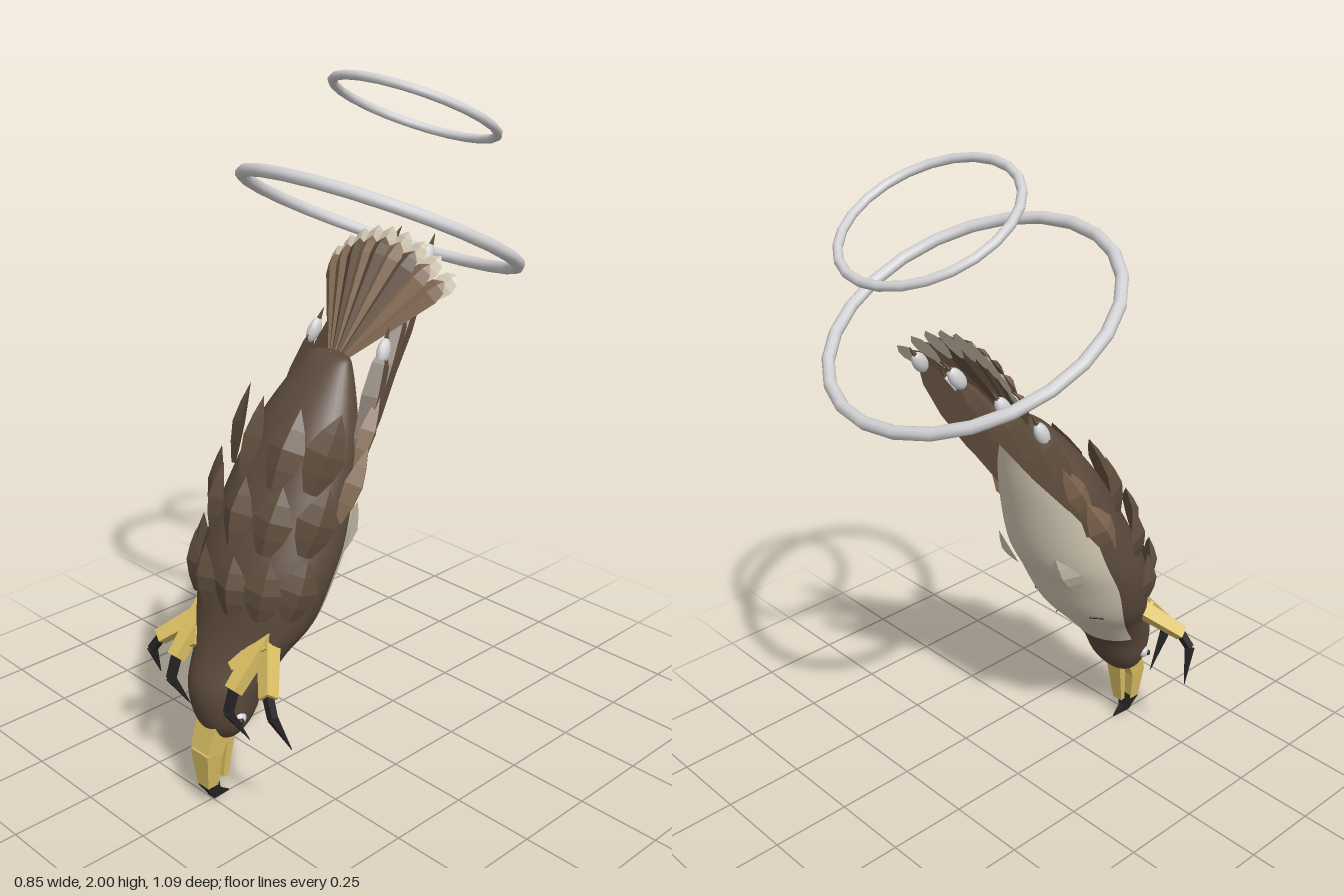
import * as THREE from 'three';

const V = (x, y, z) => new THREE.Vector3(x, y, z);
const paint = (name, color) => {
  const m = new THREE.MeshStandardMaterial({ color, side: THREE.DoubleSide });
  m.name = name;
  return m;
};

export function createModel() {
  const root = new THREE.Group();
  root.name = 'divingBird';
  const brown = paint('dark brown', 0x62503f);
  const plume = paint('plumage brown', 0x5c4a3c);
  const tan = paint('light brown', 0x80674f);
  const cream = paint('cream', 0xd3c9b4);
  const yellow = paint('yellow', 0xd8bd62);
  const black = paint('black', 0x262324);
  const silver = paint('silver', 0xd2d2d4);

  const add = (geo, mat, name, parent = root) => {
    const m = new THREE.Mesh(geo, mat);
    m.name = name;
    parent.add(m);
    return m;
  };
  const flat = (geo) => {
    const g = geo.index ? geo.toNonIndexed() : geo;
    g.computeVertexNormals();
    return g;
  };

  // tapered faceted bar between two points
  const limb = (a, b, ra, rb, mat, name, sides = 4, depth = 1) => {
    if (b.y < a.y) [a, b, ra, rb] = [b, a, rb, ra];
    const d = b.clone().sub(a);
    const g = new THREE.CylinderGeometry(rb, ra, d.length(), sides);
    g.rotateY(Math.PI / 4);
    g.scale(1, 1, depth);
    const m = add(flat(g), mat, name);
    m.position.copy(a).add(b).multiplyScalar(0.5);
    m.quaternion.setFromUnitVectors(V(0, 1, 0), d.normalize());
    return m;
  };

  // pointed feather with a raised centre ridge
  const feather = (a, b, half, ridge, up, mat, name,
    profile = [[0, 0.25], [0.3, 0.8], [0.6, 1], [0.83, 0.75], [1, 0]]) => {
    const d = b.clone().sub(a);
    const side = d.clone().cross(up).normalize();
    const n = side.clone().cross(d).normalize();
    const pos = [], idx = [];
    profile.forEach(([t, w], i) => {
      const c = a.clone().addScaledVector(d, t);
      const l = c.clone().addScaledVector(side, -half * w);
      const r = c.clone().addScaledVector(side, half * w);
      c.addScaledVector(n, ridge * w);
      for (const p of [l, c, r]) pos.push(p.x, p.y, p.z);
      if (i) for (let k = 0; k < 3; k++) {
        const p = (i - 1) * 3 + k, q = (i - 1) * 3 + (k + 1) % 3;
        idx.push(p, q, p + 3, q, q + 3, p + 3);
      }
    });
    // reverse so the faces look outwards
    const g = new THREE.BufferGeometry();
    g.setAttribute('position', new THREE.Float32BufferAttribute(pos, 3));
    g.setIndex(idx.reverse());
    if (n.dot(up) < 0) g.setIndex(idx.reverse());
    return add(flat(g), mat, name);
  };

  // body sections: height, front z, back z, half width
  const sections = [
    [0.205, 0.465, 0.455, 0.004], [0.22, 0.5, 0.42, 0.055], [0.28, 0.53, 0.37, 0.095],
    [0.37, 0.54, 0.325, 0.115], [0.465, 0.5, 0.245, 0.145], [0.555, 0.47, 0.165, 0.19],
    [0.68, 0.445, 0.1, 0.215], [0.8, 0.39, 0.04, 0.212], [1.0, 0.27, 0, 0.18],
    [1.11, 0.19, -0.01, 0.14], [1.21, 0.095, -0.012, 0.09], [1.242, 0.055, 0, 0.065],
    [1.246, 0.03, 0.025, 0.004]];
  const curve = (f) => new THREE.CatmullRomCurve3(sections.map(f), false, 'catmullrom', 0.5);
  const mid = curve(([y, f, b]) => V(y, (f + b) / 2, (f - b) / 2));
  const wide = curve(([y, , , w]) => V(y, w, 0));
  const bodyPoint = (t, a) => {
    const m = mid.getPoint(t), w = wide.getPoint(t).y;
    return V(w * Math.sin(a), m.x, m.y + m.z * Math.cos(a));
  };
  const heightToT = (y) => {
    let lo = 0, hi = 1;
    for (let i = 0; i < 30; i++) {
      const t = (lo + hi) / 2;
      if (mid.getPoint(t).x < y) lo = t; else hi = t;
    }
    return lo;
  };

  // body and head, with the pale underside as a second material
  const rows = 48, cols = 40, pos = [], dark = [], pale = [];
  for (let j = 0; j <= rows; j++) for (let i = 0; i < cols; i++)
    pos.push(...bodyPoint(j / rows, i / cols * Math.PI * 2).toArray());
  for (let j = 0; j < rows; j++) for (let i = 0; i < cols; i++) {
    const a = j * cols + i, b = j * cols + (i + 1) % cols;
    const y = pos[a * 3 + 1];
    const fromBack = Math.abs((i + 0.5) / cols - 0.5) * 360;
    const isPale = y > 0.385 && y < 1.215 && fromBack < (y > 0.9 ? 60 : 68);
    (isPale ? pale : dark).push(a, b, a + cols, b, b + cols, a + cols);
  }
  const body = new THREE.BufferGeometry();
  body.setAttribute('position', new THREE.Float32BufferAttribute(pos, 3));
  body.setIndex([...dark, ...pale]);
  body.addGroup(0, dark.length, 0);
  body.addGroup(dark.length, pale.length, 1);
  body.computeVertexNormals();
  add(body, [plume, cream], 'body');

  // overlapping back feathers
  const scale = [[0, 0.35], [0.25, 0.8], [0.5, 1], [0.75, 0.6], [1, 0]];
  const backRows = [
    [0.93, 0.2, [-0.155, -0.063, 0.063, 0.155]],
    [0.775, 0.175, [-0.19, -0.105, 0, 0.105, 0.19]],
    [0.6, 0.165, [-0.185, -0.13, -0.05, 0.05, 0.13, 0.185]]];
  for (const [y, len, xs] of backRows) for (const x of xs) {
    const t = heightToT(y);
    const a = Math.asin(THREE.MathUtils.clamp(x / wide.getPoint(t).y, -0.97, 0.97));
    const p = bodyPoint(t, a), q = bodyPoint(heightToT(y + len), a);
    const n = V(Math.sin(a), 0.3, Math.cos(a)).normalize();
    q.x = p.x * 0.97;
    feather(p, q.addScaledVector(n, 0.045), 0.058, 0.03, n, brown, 'backFeather', scale);
  }

  // tail fan with pale tips
  for (let i = -4; i <= 4; i++) {
    const u = i / 4, up = V(u * 0.25, 0.53, 0.85);
    const a = V(u * 0.025, 1.22, 0.01);
    const b = V(u * 0.215, 1.535 - 0.09 * u * u, -0.19 - 0.01 * Math.abs(u));
    const mat = Math.abs(i) > 2 || i % 2 ? tan : brown;
    const vane = [[0, 0.15], [0.45, 0.6], [0.85, 1], [0.94, 0.75], [1, 0]];
    feather(a, b, 0.036, 0.018, up, mat, 'tailFeather', vane);
    const off = V(0, -0.006, -0.01);
    feather(a.clone().lerp(b, 0.8).add(off), a.clone().lerp(b, 1.1).add(off),
      0.034, 0.008, up, cream, 'tailTip');
  }

  for (const s of [-1, 1]) {
    const P = (x, y, z) => V(s * x, y, z);

    // folded wing: long quills ending in pale beads
    const quills = [
      [P(0.185, 0.93, 0.12), P(0.135, 1.29, -0.055), 0.04],
      [P(0.17, 0.96, 0.09), P(0.105, 1.39, -0.17), 0.038],
      [P(0.15, 1.0, 0.06), P(0.07, 1.5, -0.3), 0.036]];
    for (const [a, b, w] of quills) {
      const d = b.clone().sub(a).normalize();
      feather(a, b, w, 0.024, P(1, 0.25, 0.15), brown, 'wingQuill');
      const bead = add(new THREE.SphereGeometry(1, 12, 8), silver, 'quillBead');
      bead.scale.set(0.017, 0.038, 0.022);
      bead.position.copy(b).addScaledVector(d, -0.03);
      bead.quaternion.setFromUnitVectors(V(0, 1, 0), d);
      limb(b.clone().addScaledVector(d, -0.02), b.clone().addScaledVector(d, 0.04),
        0.012, 0.001, brown, 'quillPoint');
    }
    // light feathers over the wing joint
    feather(P(0.2, 0.84, 0.19), P(0.2, 1.03, 0.075), 0.045, 0.03, P(1, 0, -0.1), tan, 'wingCovert', scale);
    feather(P(0.185, 0.97, 0.11), P(0.17, 1.16, 0.0), 0.035, 0.025, P(1, 0, 0), tan, 'wingCovert', scale);

    // pale tuft and small dark mark on the belly
    feather(P(0.125, 0.7, 0.11), P(0.12, 0.83, 0.035), 0.055, 0.02, P(0.4, -0.2, -1), cream, 'bellyTuft', scale);
    const t = heightToT(0.565);
    const markA = bodyPoint(t, s * 2.25), markB = bodyPoint(t, s * 2.5);
    limb(markA, markB, 0.005, 0.005, black, 'bellyMark');

    // feet: toes and hooked claws
    limb(P(0.12, 0.53, 0.38), P(0.235, 0.43, 0.485), 0.034, 0.027, yellow, 'outerToe');
    limb(P(0.13, 0.55, 0.39), P(0.125, 0.42, 0.515), 0.034, 0.027, yellow, 'middleToe');
    limb(P(0.14, 0.53, 0.41), P(0.08, 0.46, 0.48), 0.03, 0.018, yellow, 'innerToe');
    const claws = [
      [P(0.225, 0.44, 0.48), P(0.262, 0.385, 0.495), P(0.287, 0.28, 0.45)],
      [P(0.125, 0.43, 0.51), P(0.125, 0.36, 0.535), P(0.13, 0.245, 0.465)]];
    for (const [a, b, c] of claws) {
      limb(a, b, 0.016, 0.015, black, 'claw');
      limb(b, c, 0.016, 0.001, black, 'clawTip');
    }

    // eye
    const eye = add(new THREE.SphereGeometry(0.02, 12, 8), silver, 'eye');
    eye.position.copy(P(0.092, 0.3, 0.468));
    const pupil = add(new THREE.SphereGeometry(0.01, 10, 6), black, 'pupil');
    pupil.position.copy(P(0.106, 0.298, 0.475));
  }

  // open hooked beak
  limb(V(0, 0.25, 0.485), V(0, 0.17, 0.515), 0.06, 0.053, yellow, 'upperBeak', 4, 0.75);
  limb(V(0, 0.175, 0.515), V(0, 0.06, 0.515), 0.053, 0.034, yellow, 'upperBeak', 4, 0.75);
  limb(V(0, 0.25, 0.44), V(0, 0.07, 0.465), 0.045, 0.026, yellow, 'lowerBeak', 4, 0.45);
  limb(V(0, 0.065, 0.513), V(0, 0.02, 0.492), 0.032, 0.02, black, 'beakHook');
  limb(V(0, 0.025, 0.5), V(0, 0.004, 0.44), 0.021, 0.002, black, 'beakPoint');

  // tilted hoops
  for (const [R, r, y, z] of [[0.406, 0.018, 1.585, -0.165], [0.242, 0.013, 1.88, -0.3]]) {
    const hoop = add(new THREE.TorusGeometry(R, r, 10, 24), silver, 'hoop');
    hoop.position.set(0, y, z);
    hoop.rotation.x = 1.112;
  }
  return root;
}
